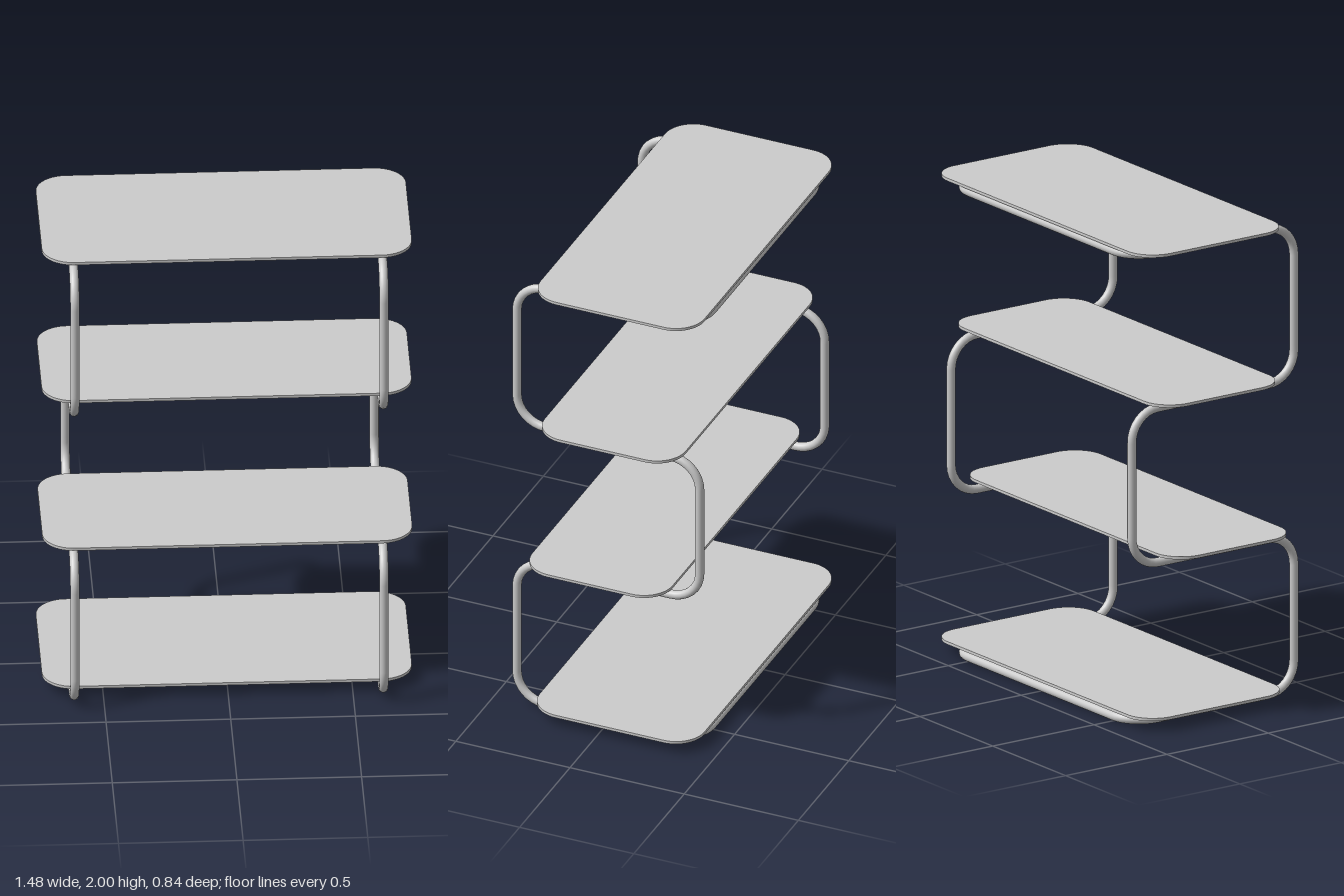
import * as THREE from 'three';

const material = new THREE.MeshStandardMaterial({ color: 0xcccccc });

// Closed path through the corners, each rounded by a near-circular bend
function roundedLoop(corners, radius) {
  const path = new THREE.CurvePath();
  path.arcLengthDivisions = 1000;
  const n = corners.length;
  const toward = (a, b, d) => a.clone().add(b.clone().sub(a).setLength(d));
  for (let i = 0; i < n; i++) {
    const p = corners[(i + n - 1) % n], c = corners[i];
    const q = corners[(i + 1) % n], r = corners[(i + 2) % n];
    const k = radius * (1 - 0.5523);
    if (i === 0) path.add(new THREE.LineCurve3(toward(p, c, radius), toward(c, p, radius)));
    path.add(new THREE.CubicBezierCurve3(
      toward(c, p, radius), toward(c, p, k), toward(c, q, k), toward(c, q, radius)));
    if (i < n - 1) path.add(new THREE.LineCurve3(toward(c, q, radius), toward(q, c, radius)));
  }
  return path;
}

// Thin board with rounded corners, lying flat with its top at y
function makeShelf(name, y, zBack, zFront) {
  const w = 0.742, r = 0.125, t = 0.012;
  const s = new THREE.Shape();
  s.moveTo(-w + r, -zFront);
  s.absarc(w - r, -zFront + r, r, -Math.PI / 2, 0);
  s.absarc(w - r, -zBack - r, r, 0, Math.PI / 2);
  s.absarc(-w + r, -zBack - r, r, Math.PI / 2, Math.PI);
  s.absarc(-w + r, -zFront + r, r, Math.PI, Math.PI * 1.5);
  const geo = new THREE.ExtrudeGeometry(s, { depth: t, bevelEnabled: false, curveSegments: 12 });
  geo.rotateX(-Math.PI / 2);
  const mesh = new THREE.Mesh(geo, material);
  mesh.name = name;
  mesh.position.y = y - t;
  return mesh;
}

export function createModel() {
  const group = new THREE.Group();
  group.name = 'shelfUnit';

  // One continuous bent tube: snaking sides joined by back bars at top and bottom
  const x = 0.62, z = 0.4, levels = [0.02, 0.672, 1.32, 1.969];
  const side = [];
  levels.forEach((y, i) => {
    const dir = i % 2 ? -1 : 1;
    side.push([y, -z * dir], [y, z * dir]);
  });
  // Shelf runs alternate back-to-front and front-to-back
  const left = side.map(([y, zz]) => new THREE.Vector3(x, y, zz));
  const right = side.map(([y, zz]) => new THREE.Vector3(-x, y, zz)).reverse();
  const path = roundedLoop([...left, ...right], 0.125);
  const frame = new THREE.Mesh(new THREE.TubeGeometry(path, 480, 0.0185, 16, true), material);
  frame.name = 'tubeFrame';
  group.add(frame);

  // Shelves
  group.add(
    makeShelf('bottomShelf', 0.059, -0.42, 0.302),
    makeShelf('lowerShelf', 0.711, -0.28, 0.335),
    makeShelf('upperShelf', 1.357, -0.337, 0.28),
    makeShelf('topShelf', 2.0, -0.42, 0.298),
  );
  return group;
}
